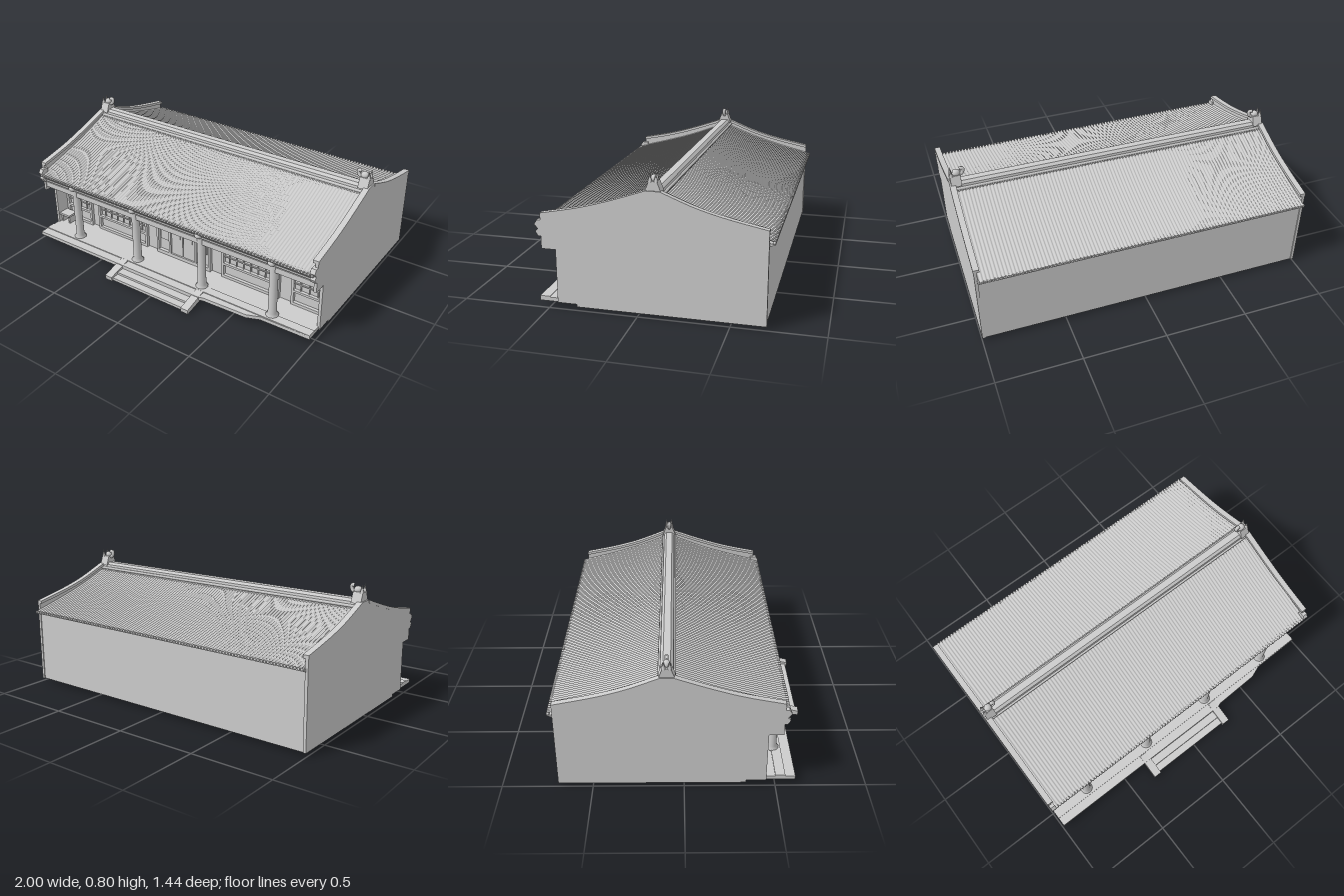
import * as THREE from 'three';
import { mergeGeometries } from 'three/addons/utils/BufferGeometryUtils.js';

const material = new THREE.MeshStandardMaterial({ color: 0xcccccc });
const thin = new THREE.MeshStandardMaterial({ color: 0xcccccc, side: THREE.DoubleSide });

export function createModel() {
  const root = new THREE.Group();

  const add = (name, geometry, mat = material) => {
    const mesh = new THREE.Mesh(geometry, mat);
    mesh.name = name;
    root.add(mesh);
    return mesh;
  };
  // box given by its limits
  const box = (x0, x1, y0, y1, z0, z1) =>
    new THREE.BoxGeometry(x1 - x0, y1 - y0, z1 - z0)
      .translate((x0 + x1) / 2, (y0 + y1) / 2, (z0 + z1) / 2);
  // side profile of [z, y] points swept across x0..x1
  const sweep = (points, x0, x1) => {
    const shape = new THREE.Shape(points.map(([z, y]) => new THREE.Vector2(z, y)));
    return new THREE.ExtrudeGeometry(shape, { depth: x1 - x0, bevelEnabled: false })
      .rotateY(-Math.PI / 2).translate(x1, 0, 0);
  };
  const smooth = (points, n) => new THREE.SplineCurve(
    points.map(([z, y]) => new THREE.Vector2(z, y))).getPoints(n).map(p => [p.x, p.y]);

  // sagging roof curves, eave to ridge
  const frontRoof = smooth([[0.56, 0.465], [0.35, 0.52], [0.15, 0.58], [-0.06, 0.66]], 12);
  const backRoof = smooth([[-0.72, 0.475], [-0.5, 0.53], [-0.3, 0.59], [-0.12, 0.66]], 12);
  const frontVerge = smooth([[0.53, 0.54], [0.32, 0.583], [0.14, 0.635], [-0.05, 0.70]], 10);
  const backVerge = smooth([[-0.69, 0.54], [-0.48, 0.583], [-0.31, 0.63], [-0.13, 0.70]], 10);

  // hall with the porch recess and ceiling
  const under = ([z, y]) => [z, y - 0.012];
  add('hall', sweep([
    [-0.685, 0.02], [0.34, 0.02], [0.34, 0.42], [0.53, 0.42],
    ...frontRoof.map(under), ...backRoof.slice().reverse().map(under), [-0.685, 0.45],
  ], -0.985, 0.985));

  // gable walls rising above the tiles, open at the porch ends
  for (const s of [-1, 1]) {
    const gable = [
      [-0.69, 0.02], [0.34, 0.02], [0.34, 0.035], [0.45, 0.035], [0.45, 0.34], [0.53, 0.34],
      ...frontVerge, ...backVerge.slice().reverse(),
    ];
    add('gableWall', sweep(gable, s > 0 ? 0.98 : -0.998, s > 0 ? 0.998 : -0.98));
    // flat coping along the verge
    for (const [verge, name] of [[frontVerge, 'frontCoping'], [backVerge, 'backCoping']]) {
      const low = verge.slice().reverse().map(([z, y]) => [z, y - 0.018]);
      add(name, sweep([...verge, ...low], s > 0 ? 0.965 : -1, s > 0 ? 1 : -0.965));
    }
  }

  // ribbed tile slopes
  const ribs = 98, width = 1.96;
  const slope = (path) => {
    const nx = ribs * 4, ny = path.length - 1;
    const g = new THREE.PlaneGeometry(width, 1, nx, ny);
    const p = g.attributes.position;
    for (let i = 0; i < p.count; i++) {
      const column = i % (nx + 1), [z, y] = path[Math.floor(i / (nx + 1))];
      const rib = 0.004 * Math.cos(column * Math.PI / 2);
      p.setXYZ(i, p.getX(i), y + rib, z);
    }
    g.computeVertexNormals();
    return g;
  };
  add('frontTiles', slope(frontRoof), thin);
  add('backTiles', slope(backRoof), thin);

  // round tile ends along both eaves
  for (const [z, y, name] of [[0.556, 0.463, 'frontTileEnds'], [-0.713, 0.473, 'backTileEnds']]) {
    const ends = [];
    for (let i = 0; i <= ribs; i++) {
      ends.push(new THREE.CylinderGeometry(0.008, 0.008, 0.016, 8)
        .rotateX(Math.PI / 2).translate(-width / 2 + i * width / ribs, y, z));
    }
    add(name, mergeGeometries(ends));
  }

  // ridge with a rounded cap
  add('ridge', sweep([[-0.045, 0.63], [-0.055, 0.695], [-0.07, 0.71], [-0.11, 0.71],
    [-0.125, 0.695], [-0.135, 0.63]], -0.99, 0.99));
  for (const z of [-0.05, -0.13]) {
    add('ridgeMoulding', new THREE.CylinderGeometry(0.009, 0.009, 1.96, 8)
      .rotateZ(Math.PI / 2).translate(0, 0.672, z));
  }

  // curled ornaments at the ridge ends
  for (const s of [-1, 1]) {
    const ornament = new THREE.Group();
    ornament.name = 'ridgeOrnament';
    const piece = (name, g) => {
      const m = new THREE.Mesh(g, material);
      m.name = name;
      ornament.add(m);
    };
    piece('ornamentBase', sweep([[-0.045, 0.69], [-0.068, 0.75], [-0.112, 0.75], [-0.135, 0.69]], -0.03, 0.03));
    piece('ornamentHead', new THREE.SphereGeometry(0.024, 12, 8).scale(1, 0.9, 0.9).translate(-0.01 * s, 0.758, -0.09));
    const horn = new THREE.CatmullRomCurve3([[-0.02, 0.74], [-0.045, 0.755], [-0.048, 0.78], [-0.028, 0.782]]
      .map(([x, y]) => new THREE.Vector3(x * s, y, -0.09)));
    piece('ornamentCurl', new THREE.TubeGeometry(horn, 12, 0.011, 8));
    for (const z of [-0.074, -0.106]) {
      piece('ornamentEar', new THREE.ConeGeometry(0.012, 0.05, 8).translate(0.022 * s, 0.77, z));
    }
    ornament.position.x = 0.96 * s;
    root.add(ornament);
  }

  // porch floor, its front edge worn back on the left
  const floor = new THREE.Shape([[-0.99, -0.33], [-0.99, -0.61], [0.28, -0.61], [0.31, -0.6],
    [0.6, -0.59], [0.68, -0.56], [0.99, -0.555], [0.99, -0.33]].map(p => new THREE.Vector2(...p)));
  add('porchFloor', new THREE.ExtrudeGeometry(floor, { depth: 0.022, bevelEnabled: false })
    .rotateX(-Math.PI / 2).translate(0, 0.035, 0));
  add('porchKerb', box(-0.99, 0.99, 0.035, 0.062, 0.5, 0.555));

  // entrance steps between sloping cheeks
  for (const [z0, z1, y] of [[0.55, 0.61, 0.05], [0.6, 0.66, 0.034], [0.65, 0.705, 0.02]]) {
    add('step', box(-0.29, 0.24, y - 0.018, y, z0, z1));
  }
  for (const x of [-0.315, 0.26]) {
    add('stepCheek', sweep([[0.55, 0.03], [0.715, 0], [0.718, 0.028], [0.56, 0.066]], x - 0.025, x + 0.025));
  }

  // columns with stone bases and brackets
  const columns = [-0.735, -0.25, 0.24, 0.725];
  for (const x of columns) {
    const profile = [[0, 0.055], [0.036, 0.055], [0.038, 0.066], [0.026, 0.08], [0.025, 0.4],
      [0.03, 0.41], [0.03, 0.435], [0, 0.435]].map(p => new THREE.Vector2(...p));
    add('column', new THREE.LatheGeometry(profile, 20).translate(x, 0, 0.507));
    add('bracket', new THREE.SphereGeometry(0.026, 12, 8).scale(1, 0.8, 1.1).translate(x, 0.432, 0.533));
    add('tieBeam', box(x - 0.014, x + 0.014, 0.355, 0.4, 0.33, 0.5));
  }

  // beams under the eave
  add('lintel', box(-0.985, 0.985, 0.365, 0.4, 0.487, 0.525));
  add('purlin', new THREE.CylinderGeometry(0.022, 0.022, 1.97, 16)
    .rotateZ(Math.PI / 2).translate(0, 0.425, 0.515));
  add('eaveBoard', box(-0.985, 0.985, 0.44, 0.458, 0.5, 0.55));
  // carved blocks closing the gable heads
  for (const s of [-1, 1]) {
    add('gableCorbel', sweep([[0.51, 0.41], [0.545, 0.41], [0.56, 0.435], [0.545, 0.45],
      [0.565, 0.475], [0.55, 0.5], [0.51, 0.5]], s * 0.983 - 0.015, s * 0.983 + 0.015));
  }

  // screen wall: framed lattice windows in each side bay
  const face = 0.34;
  const bar = (x0, x1, y0, y1, d) => box(x0, x1, y0, y1, face - 0.005, face + d);
  const bays = [[-0.98, -0.76], [-0.7, -0.29], [0.28, 0.68], [0.76, 0.98]];
  for (const [x0, x1] of bays) {
    const bars = [
      bar(x0, x1, 0.33, 0.35, 0.02), bar(x0, x1, 0.145, 0.16, 0.02), bar(x0, x1, 0.057, 0.075, 0.02),
      bar(x0, x0 + 0.016, 0.057, 0.35, 0.02), bar(x1 - 0.016, x1, 0.057, 0.35, 0.02),
    ];
    const n = Math.round((x1 - x0) / 0.05);
    for (let i = 1; i < n; i++) {
      const x = x0 + (x1 - x0) * i / n;
      bars.push(bar(x - 0.003, x + 0.003, 0.16, 0.33, 0.009));
    }
    for (let y = 0.2; y < 0.32; y += 0.043) bars.push(bar(x0, x1, y - 0.003, y + 0.003, 0.008));
    add('latticeWindow', mergeGeometries(bars));
  }

  // central doorway with two leaves and side panels
  add('doorFrame', mergeGeometries([
    bar(-0.21, 0.2, 0.34, 0.358, 0.022), bar(-0.21, -0.195, 0.057, 0.34, 0.022),
    bar(0.185, 0.2, 0.057, 0.34, 0.022), bar(-0.115, -0.1, 0.057, 0.34, 0.022),
    bar(0.08, 0.095, 0.057, 0.34, 0.022), bar(-0.21, 0.2, 0.057, 0.08, 0.022),
  ]));
  for (const x of [-0.098, -0.008]) {
    add('doorLeaf', bar(x, x + 0.084, 0.08, 0.335, 0.012));
    add('doorPanel', bar(x + 0.014, x + 0.07, 0.2, 0.315, 0.017));
  }
  for (const x of [-0.185, 0.105]) add('sidePanel', bar(x, x + 0.06, 0.16, 0.32, 0.01));

  // small bench at the right end of the porch
  add('benchSeat', box(-0.985, -0.895, 0.108, 0.122, 0.37, 0.44));
  for (const x of [-0.975, -0.915]) add('benchLeg', box(x, x + 0.012, 0.055, 0.11, 0.38, 0.43));

  return root;
}
